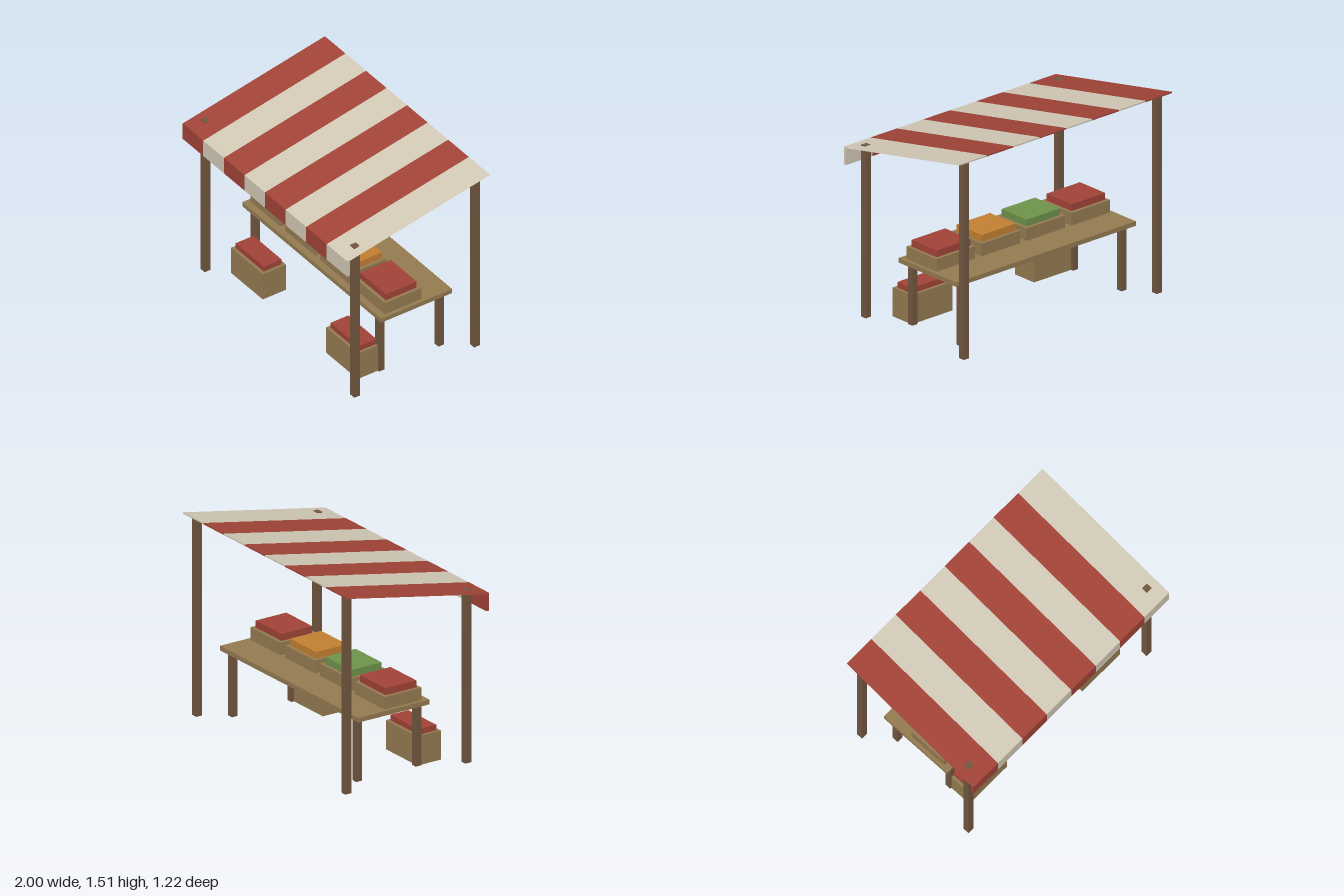
import * as THREE from 'three';

const material = (name, color) => {
  const m = new THREE.MeshStandardMaterial({ color });
  m.name = name;
  return m;
};

export function createModel() {
  const root = new THREE.Group();
  root.name = 'marketStall';

  const darkWood = material('dark wood', 0x735840);
  const lightWood = material('light wood', 0x967c52);
  const red = material('red', 0xa34438);
  const cream = material('cream', 0xd4cbb8);
  const green = material('green', 0x6f944c);
  const orange = material('orange', 0xc48132);
  // thin cloth is seen from both sides
  red.side = cream.side = THREE.DoubleSide;

  // Box standing on height y
  const box = (name, mat, w, h, d, x, y, z) => {
    const mesh = new THREE.Mesh(new THREE.BoxGeometry(w, h, d), mat);
    mesh.name = name;
    mesh.position.set(x, y + h / 2, z);
    root.add(mesh);
    return mesh;
  };

  // Posts and table legs
  for (const side of [-1, 1]) {
    box('frontPost', darkWood, 0.05, 1.305, 0.05, side * 0.91, 0, 0.48);
    box('backPost', darkWood, 0.05, 1.49, 0.05, side * 0.91, 0, -0.55);
    for (const z of [0.16, -0.35]) box('tableLeg', darkWood, 0.048, 0.475, 0.048, side * 0.758, 0, z);
  }
  box('tableTop', lightWood, 1.69, 0.035, 0.61, 0, 0.475, -0.095);

  // Crates of produce on the table
  [red, green, orange, red].forEach((produce, i) => {
    const x = (i - 1.5) * 0.424 - 0.002;
    box('crate', lightWood, 0.363, 0.095, 0.316, x, 0.51, 0);
    box('produce', produce, 0.316, 0.052, 0.264, x, 0.605, 0);
  });

  // Larger crates on the ground
  for (const x of [-0.579, 0.575]) {
    box('groundCrate', lightWood, 0.385, 0.22, 0.2, x, 0, 0.258);
    box('groundProduce', red, 0.342, 0.042, 0.153, x, 0.22, 0.258);
  }

  // Striped awning: sloping cloth, open at the stripe ends, and a hanging valance
  const zFront = 0.61, zBack = -0.61, yFront = 1.275, yBack = 1.515, thick = 0.01;
  for (let i = 0; i < 8; i++) {
    const x = -0.875 + i * 0.25;
    const mat = i % 2 ? cream : red;
    const cloth = new THREE.BoxGeometry(0.25, thick, zFront - zBack);
    cloth.setIndex(Array.from(cloth.index.array).slice(12));
    cloth.clearGroups();
    const p = cloth.attributes.position;
    for (let k = 0; k < p.count; k++) {
      const t = (zFront - p.getZ(k)) / (zFront - zBack);
      p.setY(k, p.getY(k) - thick / 2 + yFront + (yBack - yFront) * t);
    }
    cloth.computeVertexNormals();
    const stripe = new THREE.Mesh(cloth, mat);
    stripe.name = 'awningStripe';
    stripe.position.x = x;
    root.add(stripe);
    box('valanceStripe', mat, 0.25, 0.134, 0.024, x, 1.141, 0.601);
  }
  return root;
}
